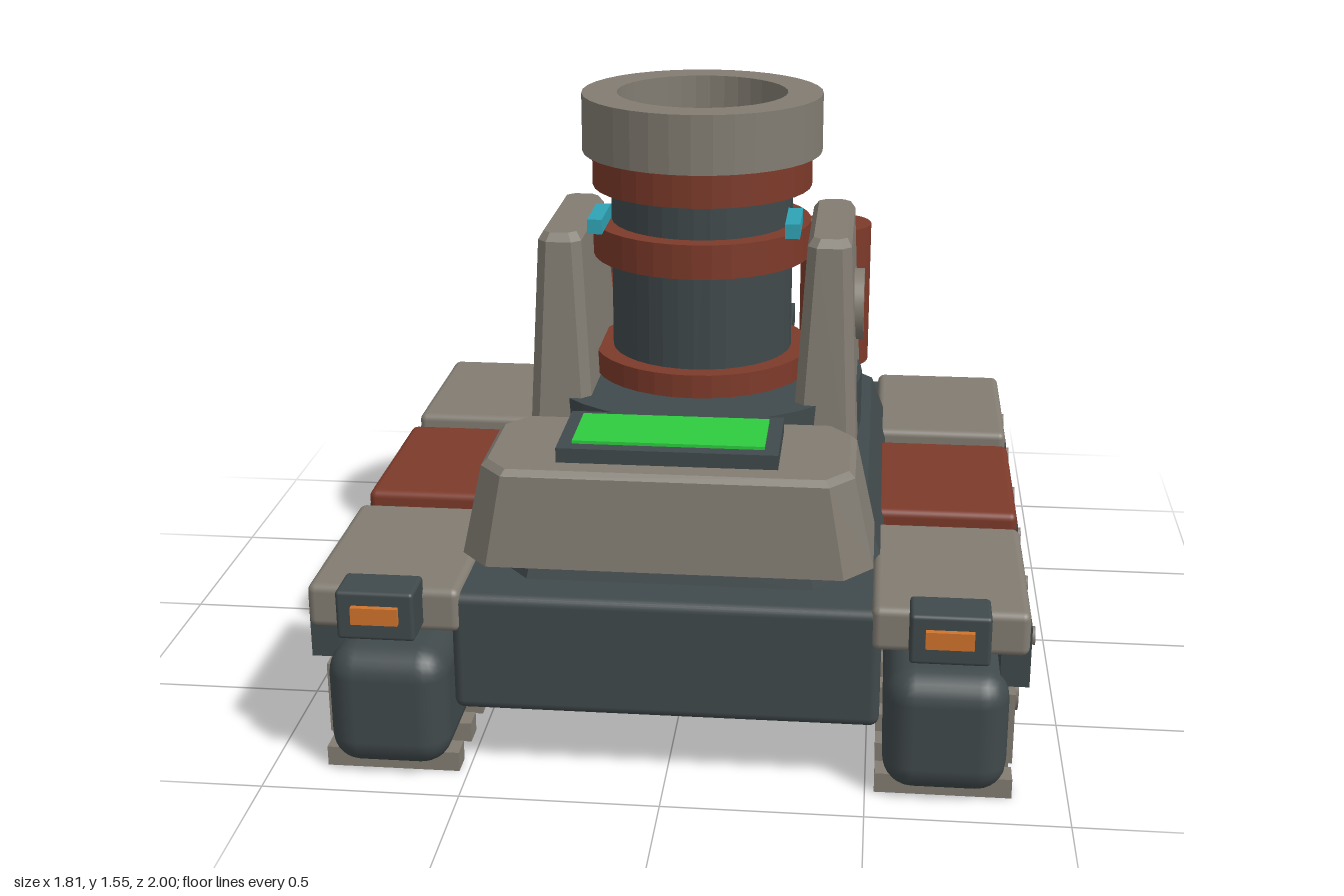
import * as THREE from 'three';
import { RoundedBoxGeometry } from 'three/addons/geometries/RoundedBoxGeometry.js';
import { ConvexGeometry } from 'three/addons/geometries/ConvexGeometry.js';

const mat = (name, color) => {
  const m = new THREE.MeshStandardMaterial({ color });
  m.name = name;
  return m;
};

export function createModel() {
  const grey = mat('warm grey armour', 0x827c72);
  const dark = mat('dark steel', 0x40494b);
  const red = mat('rust red', 0x7d3a2a);
  const green = mat('screen green', 0x2ecc40);
  const cyan = mat('sight cyan', 0x2fa3b5);
  const orange = mat('lamp orange', 0xd0742c);

  const root = new THREE.Group();
  root.name = 'mortarCarrier';

  const add = (name, geo, material, x = 0, y = 0, z = 0, parent = root) => {
    const m = new THREE.Mesh(geo, material);
    m.name = name;
    m.position.set(x, y, z);
    parent.add(m);
    return m;
  };

  // Box given by its limits on each axis, optionally with rounded edges
  const box = (name, material, [x0, x1], [y0, y1], [z0, z1], r = 0, parent = root) => {
    const s = [x1 - x0, y1 - y0, z1 - z0];
    const geo = r ? new RoundedBoxGeometry(...s, 3, r) : new THREE.BoxGeometry(...s);
    return add(name, geo, material, (x0 + x1) / 2, (y0 + y1) / 2, (z0 + z1) / 2, parent);
  };

  // Faceted copy of a geometry
  const facet = (geo) => {
    const g = geo.toNonIndexed();
    g.computeVertexNormals();
    return g;
  };

  // Upright cylinder between two heights
  const drum = (name, material, r, y0, y1, x, z, parent = root) =>
    add(name, facet(new THREE.CylinderGeometry(r, r, y1 - y0, 36)), material, x, (y0 + y1) / 2, z, parent);

  // Disc lying against a side wall, axis along x
  const sideDisc = (name, material, r, x0, x1, y, z, parent, sides = 24) =>
    add(name, new THREE.CylinderGeometry(r, r, x1 - x0, sides).rotateZ(Math.PI / 2),
      material, (x0 + x1) / 2, y, z, parent);

  // Rectangle with cut corners at height y
  const cutRect = (y, [x0, x1], [z0, z1], cx, cz) => {
    const pts = [];
    for (const [x, ix] of [[x0, 1], [x1, -1]])
      for (const [z, iz] of [[z0, 1], [z1, -1]])
        pts.push(new THREE.Vector3(x + ix * cx, y, z), new THREE.Vector3(x, y, z + iz * cz));
    return pts;
  };

  // Tapered block spanning several cut rectangles
  const taper = (name, material, sections, parent = root) =>
    add(name, new ConvexGeometry(sections.flatMap((s) => cutRect(...s))), material, 0, 0, 0, parent);

  // Hull and deck
  box('hull', dark, [-0.53, 0.53], [0.175, 0.49], [-0.84, 0.88], 0.025);
  taper('deck', dark, [
    [0.48, [-0.53, 0.53], [-0.75, 0.77], 0.17, 0.2],
    [0.61, [-0.485, 0.485], [-0.69, 0.73], 0.15, 0.18],
  ]);

  // Control console with screen
  taper('console', grey, [
    [0.575, [-0.505, 0.505], [0.45, 0.89], 0.07, 0.08],
    [0.62, [-0.495, 0.495], [0.455, 0.885], 0.07, 0.08],
    [0.805, [-0.455, 0.455], [0.475, 0.872], 0.06, 0.07],
    [0.82, [-0.44, 0.44], [0.488, 0.858], 0.055, 0.065],
  ]);
  box('screenFrame', dark, [-0.27, 0.27], [0.81, 0.857], [0.54, 0.805]);
  box('screen', green, [-0.235, 0.235], [0.857, 0.865], [0.575, 0.77]);

  // Turntable and mortar barrel
  const cz = -0.13;
  drum('turntable', dark, 0.457, 0.6, 0.76, 0, cz);
  box('turntablePlate', red, [-0.13, 0.13], [0.64, 0.73], [0.28, 0.322]);
  drum('barrel', dark, 0.253, 0.75, 1.405, 0, cz);
  for (const [y0, y1] of [[0.77, 0.835], [1.105, 1.2], [1.3, 1.393]])
    drum('barrelBand', red, 0.305, y0, y1, 0, cz);
  const ring = [[0.235, 1.395], [0.332, 1.395], [0.332, 1.555], [0.235, 1.555], [0.235, 1.395]];
  add('muzzle', facet(new THREE.LatheGeometry(ring.map((p) => new THREE.Vector2(...p)), 36)), grey, 0, 0, cz);

  // Rear engine grille
  box('grilleBox', dark, [-0.23, 0.23], [0.66, 0.725], [-0.89, -0.57]);
  for (let i = 0; i < 4; i++) {
    const z = -0.838 + i * 0.073;
    box('grilleSlat', grey, [-0.19, 0.19], [0.715, 0.738], [z - 0.011, z + 0.011]);
  }

  // Everything mirrored: built on +x, then reflected by rebuilding with flipped x
  for (const s of [1, -1]) {
    const side = new THREE.Group();
    side.name = s > 0 ? 'leftSide' : 'rightSide';
    side.scale.x = s;
    root.add(side);

    // Barrel cheek and trunnion
    taper('cheek', grey, [
      [0.6, [0.27, 0.45], [-0.44, 0.19], 0.025, 0.025],
      [1.19, [0.305, 0.423], [-0.345, 0.14], 0.025, 0.025],
      [1.212, [0.32, 0.41], [-0.325, 0.12], 0.02, 0.02],
    ], side);
    sideDisc('trunnion', grey, 0.1, 0.4, 0.457, 0.96, cz, side, 32);
    box('sight', cyan, [0.245, 0.285], [1.215, 1.255], [-0.04, 0.14], 0, side);

    // Recoil tank and its strut
    drum('tank', red, 0.106, 0.64, 1.07, 0.363, -0.61, side);
    const strut = new THREE.LineCurve3(new THREE.Vector3(0.352, 1.055, -0.6), new THREE.Vector3(0.215, 1.145, -0.28));
    add('strut', new THREE.TubeGeometry(strut, 1, 0.024, 12), grey, 0, 0, 0, side);

    // Track body, pads and ribs
    box('track', dark, [0.54, 0.845], [0.025, 0.345], [-0.905, 0.94], 0.075, side);
    for (let i = 0; i < 12; i++) {
      const z = 0.85 - i * 0.15;
      box('trackPad', grey, [0.523, 0.862], [0, 0.052], [z - 0.031, z + 0.031], 0, side);
    }
    for (const z of [0.815, 0.55, 0.335, 0.18, -0.14, -0.3, -0.545, -0.785])
      box('trackRib', grey, [0.82, 0.862], [0.075, 0.265], [z - 0.025, z + 0.025], 0, side);

    // Road wheels and side boxes
    for (const z of [0.68, 0.02, -0.645]) {
      sideDisc('wheel', dark, 0.135, 0.8, 0.853, 0.195, z, side, 28);
      sideDisc('hub', grey, 0.055, 0.82, 0.878, 0.2, z, side);
    }
    for (const z of [0.585, -0.5])
      box('sideBox', dark, [0.8, 0.87], [0.105, 0.2], [z - 0.145, z + 0.145], 0, side);

    // Fenders with bolted skirts
    for (const [z, m] of [[0.625, grey], [0.015, red], [-0.6, grey]]) {
      box('fender', m, [0.505, 0.886], [0.39, 0.505], [z - 0.264, z + 0.264], 0.02, side);
      box('skirt', dark, [0.82, 0.892], [0.295, 0.455], [z - 0.23, z + 0.23], 0, side);
      for (const dz of [-0.148, 0.148])
        sideDisc('bolt', grey, 0.024, 0.88, 0.905, 0.395, z + dz, side, 8);
    }

    // Headlamp and rear tow block
    box('lampHousing', dark, [0.595, 0.787], [0.41, 0.537], [0.87, 0.985], 0.01, side);
    box('lamp', orange, [0.632, 0.747], [0.458, 0.502], [0.97, 1.0], 0, side);
    box('towBlock', grey, [0.338, 0.46], [0.21, 0.325], [-1.0, -0.885], 0.008, side);
  }

  return root;
}
